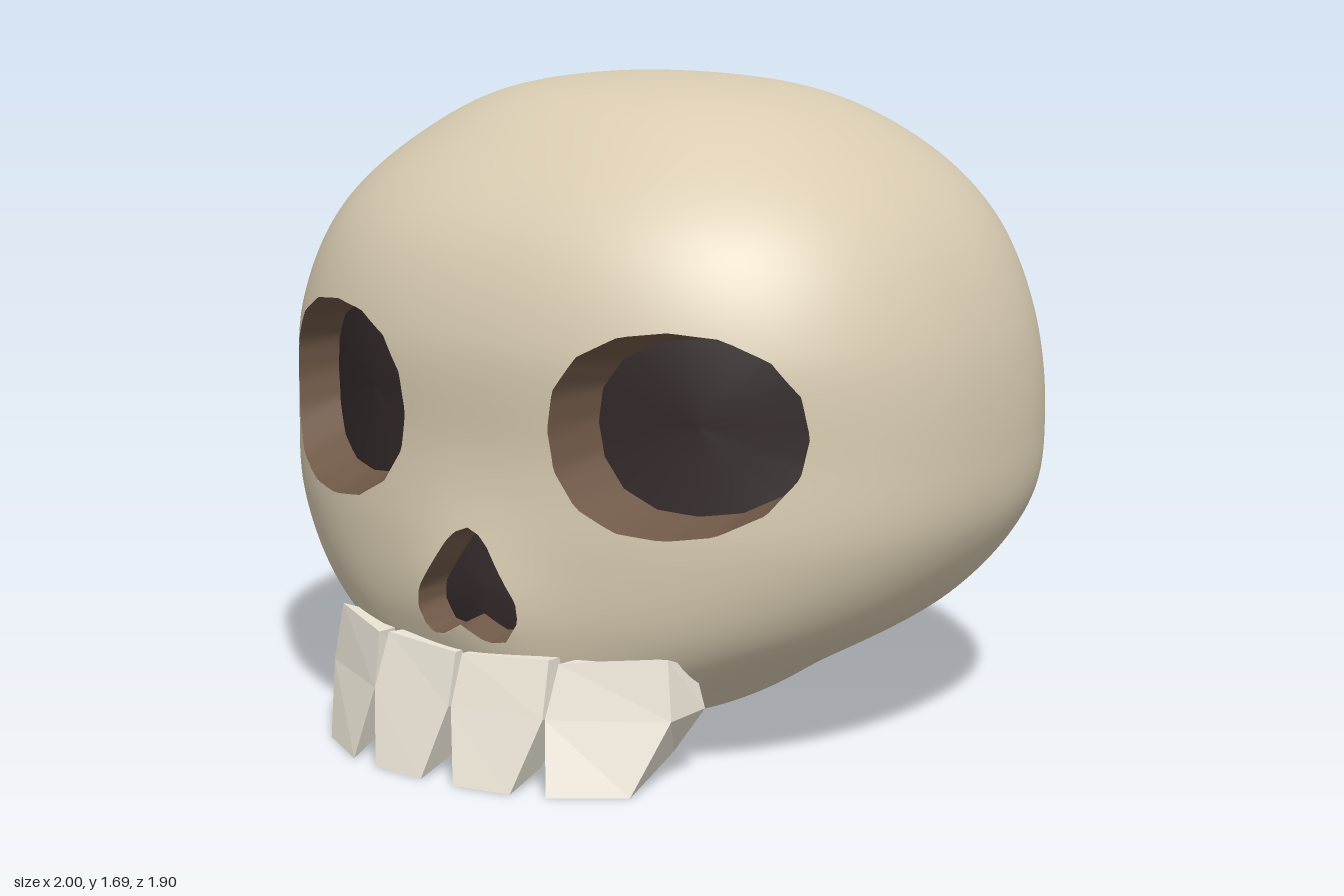
import * as THREE from 'three';

const N = 2.3; // squareness of the skull's horizontal sections
const bone = new THREE.MeshStandardMaterial({ color: 0xd9ccb2 });
const enamel = new THREE.MeshStandardMaterial({ color: 0xebe5d6 });
const wallMat = new THREE.MeshStandardMaterial({ color: 0x6f5847, side: THREE.DoubleSide });
const darkMat = new THREE.MeshStandardMaterial({ color: 0x33292a, side: THREE.DoubleSide });

// Skull sections from bottom to top: height, half width, front z, back z.
// The first and last rows are mirrored past the poles to round them off.
const rows = [
  [0.1, -0.38, -0.18, 0.57],
  [0.06, 0, 0.18, 0.18],
  [0.1, 0.38, 0.57, -0.18],
  [0.2, 0.57, 0.74, -0.48],
  [0.36, 0.82, 0.79, -0.76],
  [0.57, 0.97, 0.80, -0.92],
  [0.8, 1.0, 0.79, -0.95],
  [1.08, 0.97, 0.79, -0.92],
  [1.33, 0.86, 0.70, -0.83],
  [1.52, 0.66, 0.51, -0.65],
  [1.65, 0.39, 0.28, -0.38],
  [1.69, 0, -0.04, -0.04],
  [1.65, -0.39, -0.38, 0.28],
];
const spline = (col) => new THREE.CatmullRomCurve3(
  rows.map((r) => new THREE.Vector3(r[1], r[0], r[col])), false, 'catmullrom', 0.5);
const frontCurve = spline(2);
const backCurve = spline(3);

function section(t) {
  const u = (1 + t * (rows.length - 3)) / (rows.length - 1);
  const f = frontCurve.getPoint(u);
  const b = backCurve.getPoint(u);
  return { y: f.y, w: Math.max(f.x, 0), mid: (f.z + b.z) / 2, depth: Math.max((f.z - b.z) / 2, 0) };
}

// Swelling of the upper jaw below the nose
const swell = (x, y) => 0.055 * Math.exp(-((x / 0.2) ** 2) - ((y - 0.4) / 0.2) ** 2);

// Height of the face surface at a point seen from the front
function faceZ(x, y) {
  let lo = 0, hi = 1;
  for (let i = 0; i < 24; i++) {
    const m = (lo + hi) / 2;
    if (section(m).y < y) lo = m; else hi = m;
  }
  const s = section(lo);
  const k = Math.max(0, 1 - Math.abs(x / s.w) ** N);
  return s.mid + s.depth * k ** (1 / N) + swell(x, y);
}

// Joins equal rings of points into one surface
function loft(rings, skip = () => false) {
  const n = rings[0].length;
  const index = [];
  const add = (a, b, c) => { if (!skip(a, b, c)) index.push(a, b, c); };
  for (let r = 0; r < rings.length - 1; r++) {
    for (let i = 0; i < n; i++) {
      const a = r * n + i, b = r * n + (i + 1) % n;
      add(a, b, a + n);
      add(b, b + n, a + n);
    }
  }
  const g = new THREE.BufferGeometry().setFromPoints(rings.flat());
  g.setIndex(index);
  g.computeVertexNormals();
  return g;
}

function flat(geometry) {
  const g = geometry.toNonIndexed();
  g.computeVertexNormals();
  return g;
}

// An opening: centre plus outline points relative to it, counter-clockwise
function opening(name, cx, cy, outline, depth, inset) {
  return { name, cx, cy, outline, depth, inset };
}

// Distance from an opening's centre to its outline along a direction
function reach(o, dx, dy) {
  const p = o.outline;
  for (let i = 0; i < p.length; i++) {
    const [ax, ay] = p[i];
    const [bx, by] = p[(i + 1) % p.length];
    const ca = dx * ay - dy * ax, cb = dx * by - dy * bx;
    if (ca <= 0 && cb > 0) {
      const k = ca / (ca - cb);
      const d = dx * (ax + (bx - ax) * k) + dy * (ay + (by - ay) * k);
      if (d > 0) return d;
    }
  }
  return 0;
}

const eyeOutline = [];
for (let i = 0; i < 16; i++) {
  const a = (i / 16) * Math.PI * 2, c = Math.cos(a), s = Math.sin(a);
  const r = (Math.abs(c) ** 2.25 + Math.abs(s) ** 2.25) ** (-1 / 2.25);
  eyeOutline.push([0.29 * r * c, 0.253 * r * s]);
}
const noseHalf = [[0.07, -0.12], [0.12, -0.115], [0.155, -0.06], [0.15, -0.01], [0.09, 0.08], [0.05, 0.14]];
const noseOutline = [[0, -0.08], ...noseHalf, [0, 0.16], ...noseHalf.map(([x, y]) => [-x, y]).reverse()];

const openings = [
  opening('leftEyeSocket', 0.51, 0.882, eyeOutline, 0.16, 0.87),
  opening('rightEyeSocket', -0.51, 0.882, eyeOutline, 0.16, 0.87),
  opening('noseCavity', 0, 0.46, noseOutline, 0.1, 0.9),
];

function craniumGeometry() {
  const around = 200, up = 140;
  const rings = [];
  const inside = new Set();
  for (let j = 0; j <= up; j++) {
    const s = section(j / up);
    const ring = [];
    for (let i = 0; i < around; i++) {
      const a = (i / around) * Math.PI * 2, c = Math.cos(a), n = -Math.sin(a);
      const r = (Math.abs(c) ** N + Math.abs(n) ** N) ** (-1 / N);
      const p = new THREE.Vector3(s.w * r * c, s.y, s.mid + s.depth * r * n);
      if (n > 0) p.z += swell(p.x, p.y);
      // Points within an opening slide out to its rim
      for (const o of openings) {
        const dx = p.x - o.cx, dy = p.y - o.cy, d = Math.hypot(dx, dy);
        if (p.z < 0.2 || d > 0.35 || d < 1e-6) continue;
        const R = reach(o, dx / d, dy / d);
        if (d < R) {
          p.x = o.cx + (dx / d) * R;
          p.y = o.cy + (dy / d) * R;
          p.z = faceZ(p.x, p.y);
          inside.add(j * around + i);
        }
      }
      ring.push(p);
    }
    rings.push(ring);
  }
  return loft(rings, (a, b, c) => inside.has(a) && inside.has(b) && inside.has(c));
}

// Recessed cavity: brown wall and dark floor following the face
function cavity(o) {
  const pts = [];
  o.outline.forEach(([x, y], i) => {
    const [nx, ny] = o.outline[(i + 1) % o.outline.length];
    for (let k = 0; k < 3; k++) pts.push([x + (nx - x) * k / 3, y + (ny - y) * k / 3]);
  });
  const ring = (scale, depth) => pts.map(([px, py]) => {
    const x = o.cx + px * scale, y = o.cy + py * scale;
    return new THREE.Vector3(x, y, faceZ(x, y) - depth);
  });
  const g = new THREE.Group();
  g.name = o.name;
  g.add(part('wall', loft([ring(1, 0), ring(o.inset, o.depth)]), wallMat));
  g.add(part('floor', loft([1, 0.5, 0].map((k) => ring(o.inset * k, o.depth))), darkMat));
  return g;
}

function part(name, geometry, material) {
  const m = new THREE.Mesh(geometry, material);
  m.name = name;
  return m;
}

// Tooth sections from bottom to top; corners are x, y, z
const innerTooth = [
  [[0.05, 0, 0.95], [0.21, 0, 0.93], [0.2, 0.03, 0.79], [0.06, 0.03, 0.8]],
  [[0.004, 0.18, 0.895], [0.262, 0.18, 0.865], [0.24, 0.18, 0.68], [0.02, 0.18, 0.7]],
  [[0.01, 0.31, 0.855], [0.25, 0.32, 0.82], [0.23, 0.3, 0.6], [0.02, 0.3, 0.6]],
];
const outerTooth = [
  [[0.3, 0, 0.905], [0.47, 0, 0.79], [0.45, 0.06, 0.57], [0.33, 0.05, 0.7]],
  [[0.266, 0.18, 0.86], [0.53, 0.18, 0.7], [0.53, 0.18, 0.55], [0.3, 0.18, 0.6]],
  [[0.28, 0.315, 0.82], [0.51, 0.33, 0.685], [0.5, 0.28, 0.55], [0.3, 0.3, 0.5]],
];

function toothGeometry(sections, side) {
  const rings = sections.map((s) => {
    const r = s.map(([x, y, z]) => new THREE.Vector3(side * x, y, z));
    return side < 0 ? r.reverse() : r;
  });
  const cap = (r) => {
    const c = r.reduce((sum, p) => sum.add(p), new THREE.Vector3()).divideScalar(4);
    return r.map(() => c.clone());
  };
  return flat(loft([cap(rings[0]), ...rings, cap(rings[2])]));
}

export function createModel() {
  const model = new THREE.Group();
  model.name = 'skull';
  model.add(part('cranium', craniumGeometry(), bone));
  for (const o of openings) model.add(cavity(o));
  for (const [side, label] of [[1, 'left'], [-1, 'right']]) {
    model.add(part(label + 'InnerTooth', toothGeometry(innerTooth, side), enamel));
    model.add(part(label + 'OuterTooth', toothGeometry(outerTooth, side), enamel));
  }
  return model;
}
